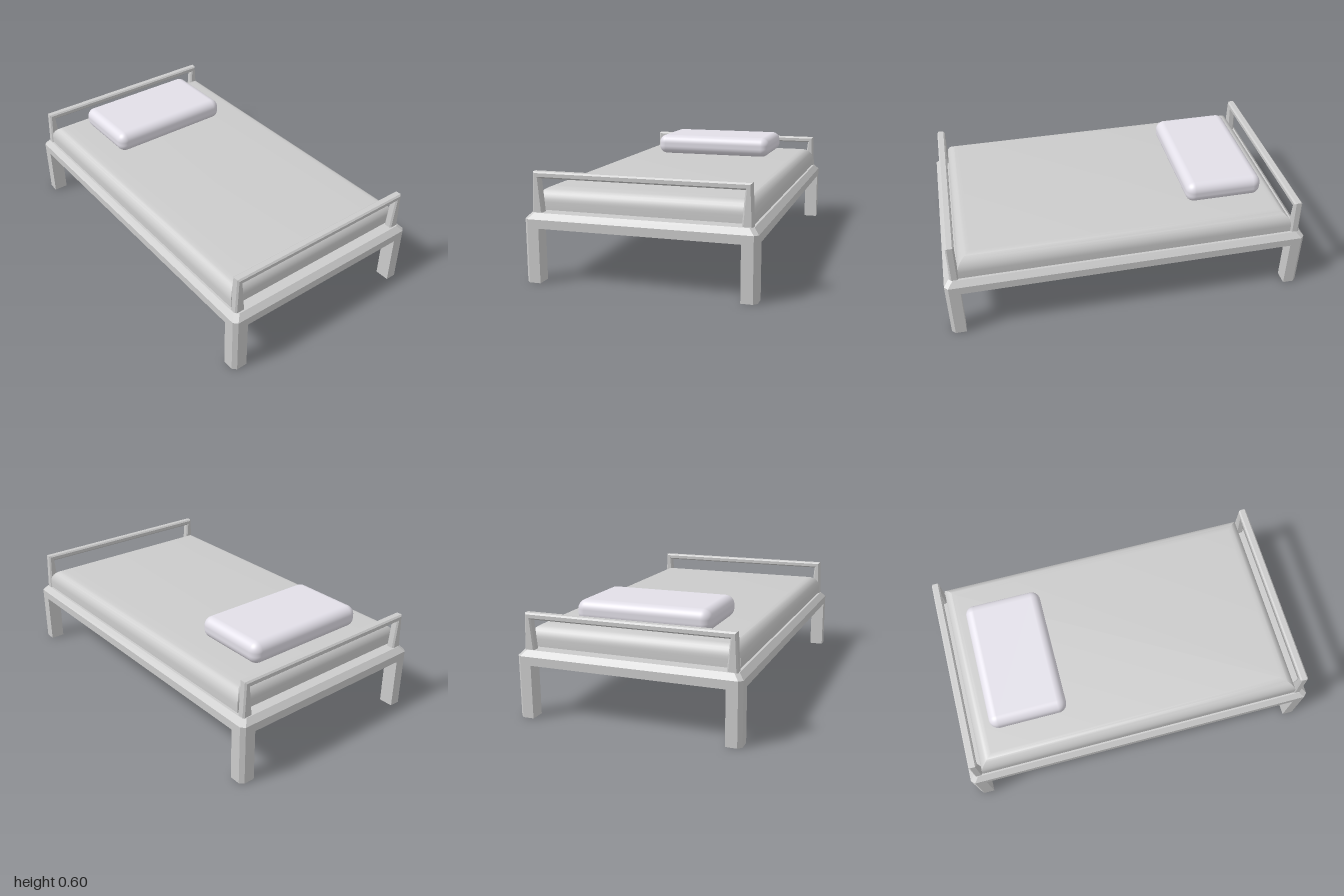
import * as THREE from 'three';
import { toCreasedNormals } from 'three/addons/utils/BufferGeometryUtils.js';
import { RoundedBoxGeometry } from 'three/addons/geometries/RoundedBoxGeometry.js';

// Outline of a rectangle with cut corners, counterclockwise seen from above
function outline(hx, hz, cut) {
  const corners = [[1, 1], [1, -1], [-1, -1], [-1, 1]];
  return corners.flatMap(([sx, sz]) => {
    if (!cut) return [[sx * hx, sz * hz]];
    const alongX = [sx * (hx - cut), sz * hz];
    const alongZ = [sx * hx, sz * (hz - cut)];
    return sx * sz > 0 ? [alongX, alongZ] : [alongZ, alongX];
  });
}

// Closed solid through stacked outlines; profile rows are [inset, y]
function stack(hx, hz, cut, profile, crease) {
  const positions = [];
  const index = [];
  const n = cut ? 8 : 4;
  for (const [inset, y] of profile) {
    for (const [x, z] of outline(hx - inset, hz - inset, cut)) positions.push(x, y, z);
  }
  for (let r = 0; r < profile.length - 1; r++) {
    for (let i = 0; i < n; i++) {
      const a = r * n + i, b = r * n + (i + 1) % n;
      index.push(a, b, b + n, a, b + n, a + n);
    }
  }
  const top = (profile.length - 1) * n;
  for (let i = 1; i < n - 1; i++) {
    index.push(0, i + 1, i, top, top + i, top + i + 1);
  }
  const geometry = new THREE.BufferGeometry();
  geometry.setAttribute('position', new THREE.Float32BufferAttribute(positions, 3));
  geometry.setIndex(index);
  return toCreasedNormals(geometry, crease);
}

// Tapered posts joined by a top rail, as one bevelled arch lying across the bed
function endRailGeometry(height, thickness) {
  const y0 = 0.35, bevel = 0.008;
  const shape = new THREE.Shape([
    [-0.57, y0], [-0.512, y0], [-0.528, height - 0.034], [0.528, height - 0.034],
    [0.512, y0], [0.57, y0], [0.56, height], [-0.56, height],
  ].map(([x, y]) => new THREE.Vector2(x, y)));
  const geometry = new THREE.ExtrudeGeometry(shape, {
    depth: thickness - 2 * bevel,
    bevelThickness: bevel, bevelSize: bevel, bevelOffset: -bevel, bevelSegments: 1,
  });
  geometry.translate(0, 0, bevel - thickness / 2);
  return geometry.rotateY(Math.PI / 2);
}

export function createModel() {
  const model = new THREE.Group();
  const grey = new THREE.MeshStandardMaterial({ color: 0xcccccc });
  const pale = new THREE.MeshStandardMaterial({ color: 0xe2dfe8 });
  const add = (name, geometry, material = grey) => {
    const mesh = new THREE.Mesh(geometry, material);
    mesh.name = name;
    model.add(mesh);
    return mesh;
  };

  // Bed base with a sloped upper edge
  add('bedBase', stack(1, 0.6, 0.02, [[0, 0.285], [0, 0.33], [0.027, 0.36]], 0.3));

  // Four legs, outer corner cut to follow the base
  const legShape = new THREE.Shape([
    [-0.04, -0.04], [0.04, -0.04], [0.04, 0.02], [0.02, 0.04], [-0.04, 0.04],
  ].map(([x, y]) => new THREE.Vector2(x, y)));
  const legGeometry = new THREE.ExtrudeGeometry(legShape, { depth: 0.29, bevelEnabled: false });
  legGeometry.rotateX(-Math.PI / 2);
  [[1, -1], [-1, -1], [-1, 1], [1, 1]].forEach(([sx, sz], i) => {
    const leg = add('leg', legGeometry);
    leg.position.set(sx * 0.96, 0, sz * 0.56);
    leg.rotation.y = i * Math.PI / 2;
  });

  // Mattress with a rounded upper edge and mitred corners
  const radius = 0.075;
  const profile = [[0, 0.365]];
  for (let i = 0; i <= 8; i++) {
    const t = i / 8 * Math.PI / 2;
    profile.push([radius * (1 - Math.cos(t)), 0.48 - radius + radius * Math.sin(t)]);
  }
  add('mattress', stack(0.92, 0.565, 0, profile, 0.6));

  // Head and foot rails
  add('headRail', endRailGeometry(0.552, 0.045)).position.x = -0.947;
  add('footRail', endRailGeometry(0.568, 0.045)).position.x = 0.942;

  // Pillow
  add('pillow', new RoundedBoxGeometry(0.435, 0.12, 0.735, 6, 0.05), pale)
    .position.set(-0.592, 0.54, 0.008);

  return model;
}
